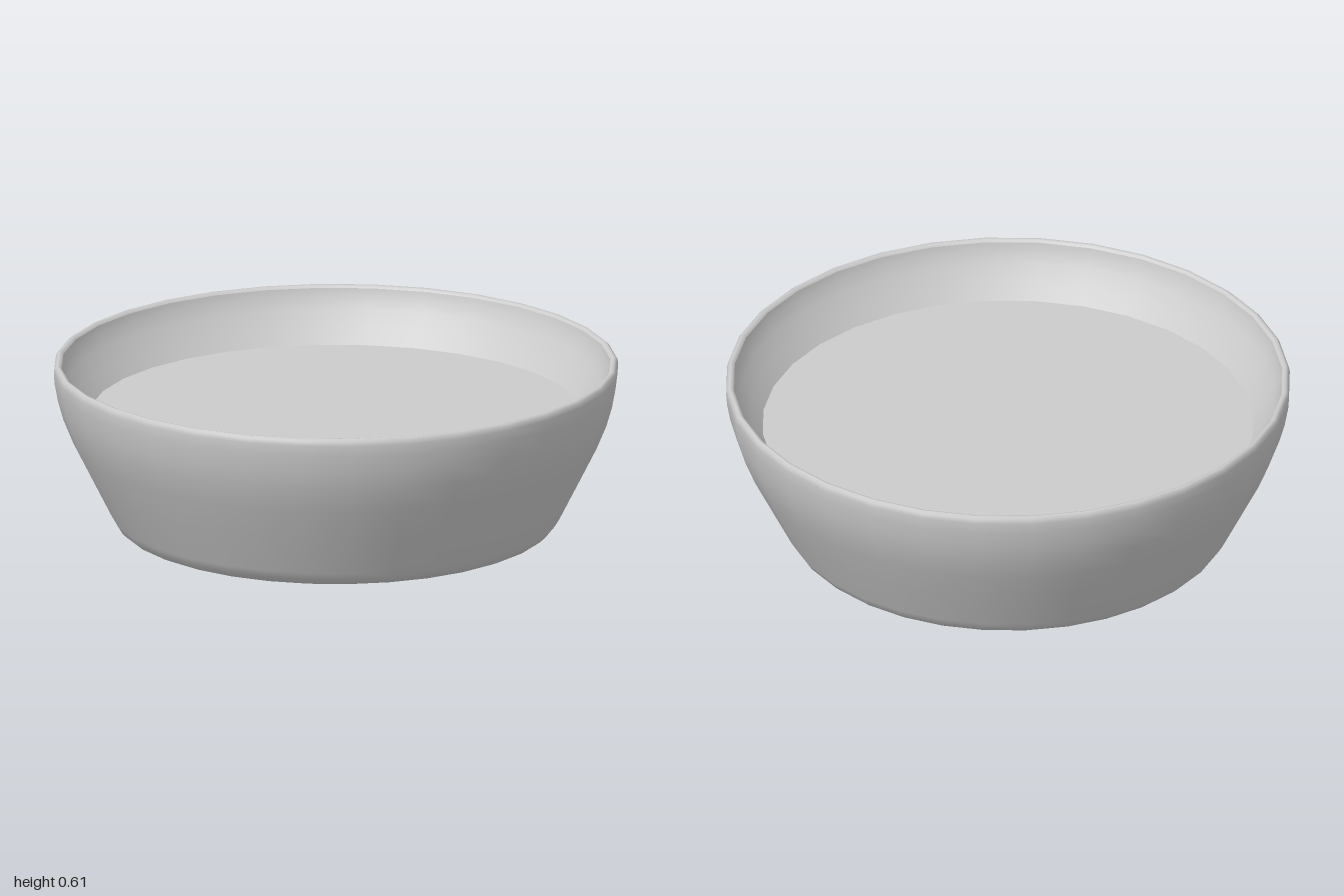
import * as THREE from 'three';

const SEGMENTS = 32;
const FLOOR_RADIUS = 0.87;
const FLOOR_Y = 0.42;

export function createModel() {
  const group = new THREE.Group();
  group.name = 'bowl';
  const material = new THREE.MeshStandardMaterial({ color: 0xcccccc });

  const addLathe = (name, profile) => {
    const points = profile.map(([r, y]) => new THREE.Vector2(r, y));
    const mesh = new THREE.Mesh(new THREE.LatheGeometry(points, SEGMENTS), material);
    mesh.name = name;
    group.add(mesh);
  };

  // Underside, rounded foot, flaring wall and soft rim
  addLathe('outerShell', [
    [0, 0], [0.71, 0], [0.735, 0.003], [0.76, 0.014], [0.78, 0.032], [0.797, 0.06],
    [0.87, 0.205], [0.93, 0.325], [0.965, 0.41], [0.985, 0.48], [0.997, 0.545],
    [1, 0.585], [0.997, 0.602], [0.988, 0.61], [0.978, 0.608], [0.972, 0.6],
  ]);

  // Sloping inside wall
  addLathe('innerWall', [
    [0.972, 0.6], [0.965, 0.57], [0.945, 0.53], [0.91, 0.475], [FLOOR_RADIUS, FLOOR_Y],
  ]);

  // Flat raised floor, with a sharp edge against the wall
  addLathe('floor', [[FLOOR_RADIUS, FLOOR_Y], [0, FLOOR_Y]]);

  return group;
}
